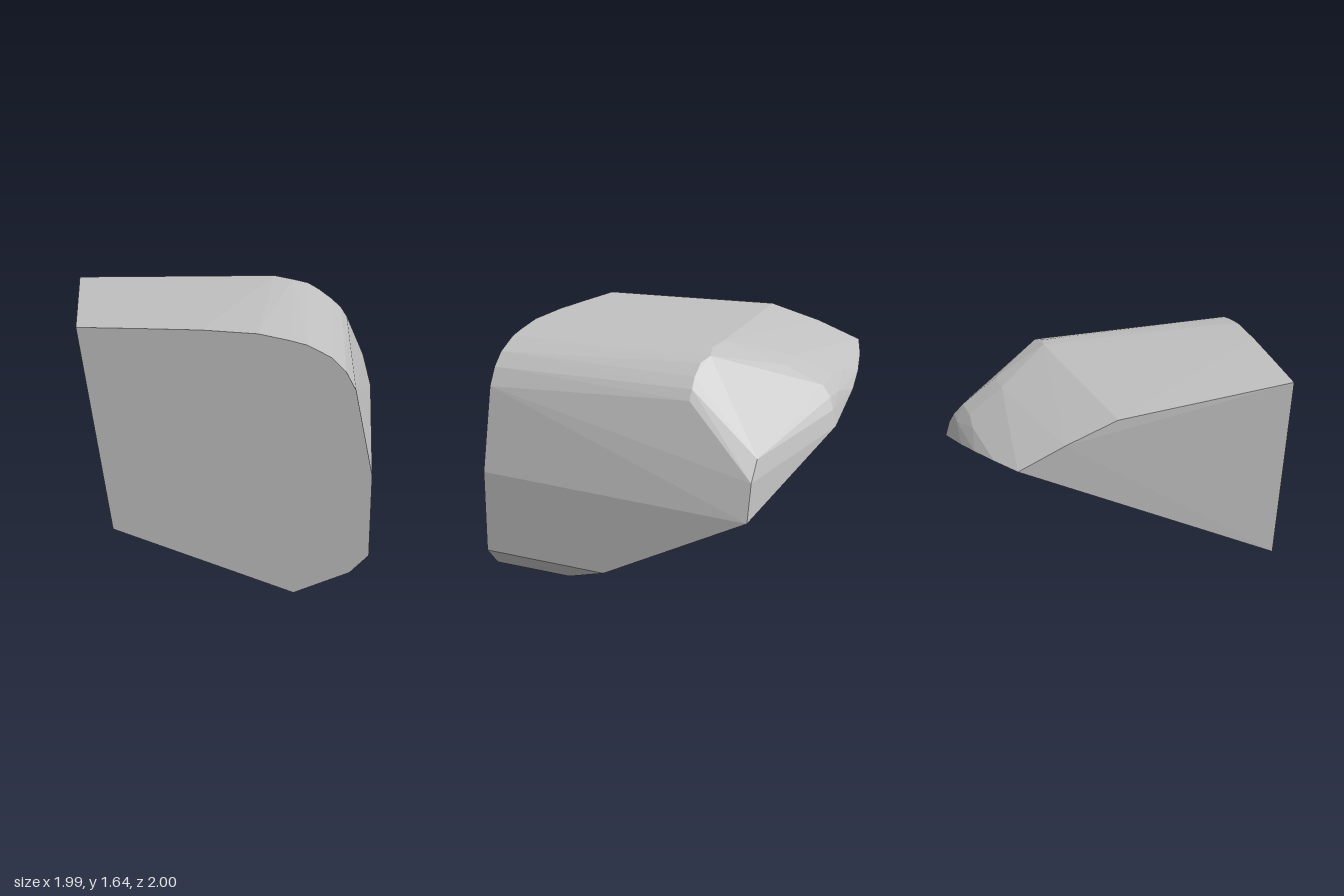
import * as THREE from 'three';
import { ConvexGeometry } from 'three/addons/geometries/ConvexGeometry.js';

const grey = new THREE.MeshStandardMaterial({ color: 0xc0c0c0 });
grey.name = 'stone grey';

// Flat sloping cut that forms the underside
const undersideY = (x, z) => 0.676 - 0.339 * x - 0.489 * z;
// Almost upright cut that forms the front
const frontZ = (x) => 0.988 + 0.012 * x;

export function createModel() {
  const group = new THREE.Group();
  group.name = 'rockFragment';
  const points = [];
  const add = (x, y, z) => points.push(new THREE.Vector3(x, y, z));

  // Outline of the front cut
  const front = [
    [-0.72, 1.628], [-0.36, 1.634], [0, 1.638], [0.32, 1.627], [0.5, 1.594],
    [0.6, 1.57], [0.74, 1.5], [0.82, 1.42], [0.88, 1.31], [0.99, 0.79],
    [0.99, 0.275], [0.88, 0.155], [0.55, 0], [-0.54, 0.365],
  ];
  for (const [x, y] of front) add(x, y, frontZ(x));

  // Rim of the underside cut, from the right flank round the back to the left
  const rim = [
    [0.88, 0.48], [0.99, 0.18], [0.99, -0.75], [0.18, -1],
    [-0.25, -0.965], [-0.49, -0.92], [-0.75, -0.85], [-1, -0.76],
  ];
  for (const [x, z] of rim) add(x, undersideY(x, z), z);

  // Shoulder where the top bends down towards the back
  const shoulder = [
    [-0.92, 1.6, -0.16], [0.33, 1.6, -0.32], [0.45, 1.585, -0.3],
    [0.55, 1.555, -0.33], [0.62, 1.525, -0.3], [0.71, 1.46, -0.3],
    [0.77, 1.4, -0.31], [0.81, 1.34, -0.31],
  ];
  for (const p of shoulder) add(...p);

  // Rounded back slope and the blunt rear corner
  const back = [
    [-0.97, 1.5, -0.48], [0, 1.475, -0.66], [0.2, 1.46, -0.66],
    [-0.25, 1.34, -0.89], [-0.08, 1.35, -0.88], [0.12, 1.335, -0.89],
    [0, 1.275, -0.95], [0.14, 1.27, -0.945], [0.17, 1.2, -0.975],
    [0.6, 1.38, -0.5], [0.84, 1.05, -0.75], [0.93, 0.93, -0.75],
  ];
  for (const p of back) add(...p);

  const body = new THREE.Mesh(new ConvexGeometry(points), grey);
  body.name = 'body';
  group.add(body);
  return group;
}
